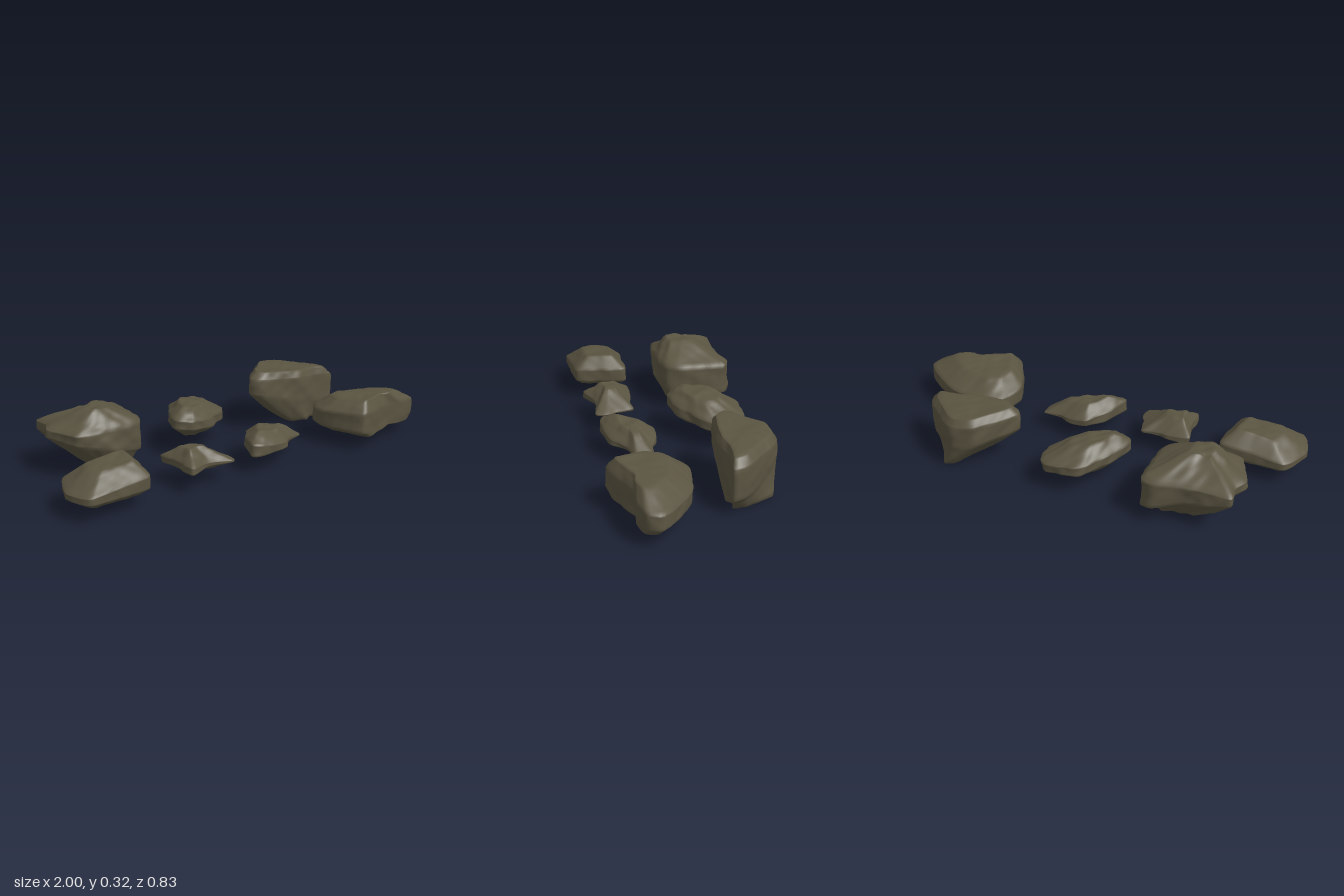
import * as THREE from 'three';
import { mergeVertices } from 'three/addons/utils/BufferGeometryUtils.js';

const SIDES = 84;
const STEPS = 7;

// layered waves that dent and ridge the stone
function dents(x, y, z) {
  const broad = Math.sin(23 * x + 9 * y + 4) * Math.sin(27 * z - 15 * y + 1);
  const ridge = 1 - 2 * Math.abs(Math.sin(17 * x - 13 * z + 21 * y));
  const fine = Math.sin(61 * x + 33 * z) * Math.sin(57 * z - 48 * y + 2) * Math.cos(39 * y + 25 * x);
  return 0.5 * broad + 0.3 * ridge + 0.45 * fine;
}

// A chamfered stone on a plan outline [x, z]. heights: base, lower rim, upper rim, top.
// baseSize and topSize scale the flat ends in x and z; baseShift and topShift move them;
// lowTilt is the lower rim's slope along x; topTilt slopes the upper part in x and z.
function rockGeometry(outline, { heights, baseSize, topSize, baseShift = [0, 0], topShift = [0, 0], lowTilt = 0, topTilt = [0, 0], rough }) {
  const corners = outline.map(([x, z]) => new THREE.Vector3(x, 0, z));
  const plan = new THREE.CatmullRomCurve3(corners, true, 'catmullrom', 0.25).getSpacedPoints(SIDES).slice(0, SIDES);
  const centre = plan.reduce((sum, p) => sum.add(p), new THREE.Vector3()).divideScalar(SIDES);
  const [base, low, high, top] = heights;
  // each ring: height, scale x/z, shift x/z, tilt x/z
  const rings = [
    [base, 0, 0, ...baseShift, 0, 0],
    [base, ...baseSize, ...baseShift, 0, 0],
    [low, 1, 1, 0, 0, lowTilt, 0],
    [high, 1, 1, 0, 0, ...topTilt],
    [top, ...topSize, ...topShift, ...topTilt],
    [top, 0, 0, ...topShift, 0, 0],
  ];
  const total = (rings.length - 1) * STEPS;
  const positions = [];
  const index = [];
  for (let i = 0; i <= total; i++) {
    const k = Math.min(Math.floor(i / STEPS), rings.length - 2);
    const t = i / STEPS - k;
    const [level, sx, sz, dx, dz, tx, tz] = rings[k].map((v, n) => THREE.MathUtils.lerp(v, rings[k + 1][n], t));
    const cap = (1 - sx * sz) * (i > total / 2 ? 1 : -1);
    for (let j = 0; j < SIDES; j++) {
      const ox = (plan[j].x - centre.x) * sx;
      const oz = (plan[j].z - centre.z) * sz;
      const x = centre.x + ox + dx;
      const y = level + tx * ox + tz * oz;
      const z = centre.z + oz + dz;
      // push outward at the sides, up or down on the caps
      const dent = dents(x, y, z) * rough;
      const radius = Math.hypot(ox, oz) || 1;
      positions.push(x + ox / radius * dent * sx, Math.max(0, y + dent * cap), z + oz / radius * dent * sz);
      if (i === total) continue;
      const a = i * SIDES + j;
      const b = i * SIDES + (j + 1) % SIDES;
      if (i > 0) index.push(a, a + SIDES, b);
      if (i < total - 1) index.push(b, a + SIDES, b + SIDES);
    }
  }
  const geometry = new THREE.BufferGeometry();
  geometry.setAttribute('position', new THREE.Float32BufferAttribute(positions, 3));
  geometry.setIndex(index);
  const welded = mergeVertices(geometry, 1e-5);
  welded.computeVertexNormals();
  return welded;
}

export function createModel() {
  const group = new THREE.Group();
  group.name = 'rocks';
  const stone = new THREE.MeshStandardMaterial({ color: 0x5a5441 });
  stone.name = 'olive stone';

  const addRock = (name, outline, shape) => {
    const mesh = new THREE.Mesh(rockGeometry(outline, shape), stone);
    mesh.name = name;
    group.add(mesh);
  };

  // back row
  addRock('backLeftRock',
    [[-.79, -.39], [-.58, -.38], [-.44, -.41], [-.37, -.37], [-.38, -.17], [-.42, -.08], [-.61, -.05], [-.75, -.08], [-.82, -.24], [-.785, -.31]],
    { heights: [.03, .14, .235, .32], baseSize: [.45, .6], topSize: [.25, .35], baseShift: [.07, .02], topShift: [-.01, .05], lowTilt: -.25, rough: .01 });
  addRock('backMiddleRock',
    [[-.07, -.34], [-.01, -.36], [.11, -.34], [.15, -.29], [.15, -.19], [-.01, -.06], [-.15, -.02], [-.22, -.08], [-.17, -.21]],
    { heights: [.08, .13, .175, .235], baseSize: [.45, .45], topSize: [.5, .5], lowTilt: -.12, topTilt: [-.12, 0], topShift: [-.02, .02], rough: .01 });
  addRock('backRightRock',
    [[.31, -.18], [.47, -.34], [.58, -.36], [.65, -.31], [.78, -.17], [.8, -.1], [.68, -.11], [.56, -.09], [.35, -.12]],
    { heights: [.01, .14, .255, .295], baseSize: [.38, .8], topSize: [.82, .85], baseShift: [.08, 0], lowTilt: -.22, topTilt: [-.09, 0], rough: .007 });

  // front row
  addRock('frontRightRock',
    [[.51, .08], [.61, .04], [.8, .08], [.95, .19], [1, .25], [.98, .31], [.88, .34], [.79, .33], [.56, .41], [.47, .2]],
    { heights: [.068, .1, .175, .24], baseSize: [.82, .8], topSize: [.62, .62], baseShift: [.02, .02], topShift: [-.02, .03], topTilt: [-.03, .08], rough: .006 });
  addRock('frontLeftRock',
    [[-.92, .08], [-.75, .09], [-.6, .1], [-.62, .24], [-.65, .35], [-.78, .36], [-.95, .36], [-1, .23]],
    { heights: [.075, .1, .148, .215], baseSize: [.8, .8], topSize: [.55, .5], topShift: [.02, 0], topTilt: [.1, 0], rough: .005 });
  addRock('smallFrontRock',
    [[-.44, .13], [-.34, .12], [-.26, .14], [-.2, .14], [-.18, .22], [-.16, .28], [-.18, .33], [-.3, .31], [-.42, .35], [-.43, .23]],
    { heights: [.08, .105, .125, .19], baseSize: [.5, .5], topSize: [.35, .3], topShift: [-.03, 0], topTilt: [-.1, 0], rough: .008 });
  addRock('middleFrontRock',
    [[.08, .1], [.17, .1], [.24, .13], [.32, .14], [.31, .22], [.22, .25], [.15, .31], [-.01, .34], [-.06, .31], [.01, .17]],
    { heights: [.08, .095, .125, .18], baseSize: [.65, .65], topSize: [.5, .4], topShift: [-.01, 0], topTilt: [-.15, 0], rough: .007 });

  return group;
}
